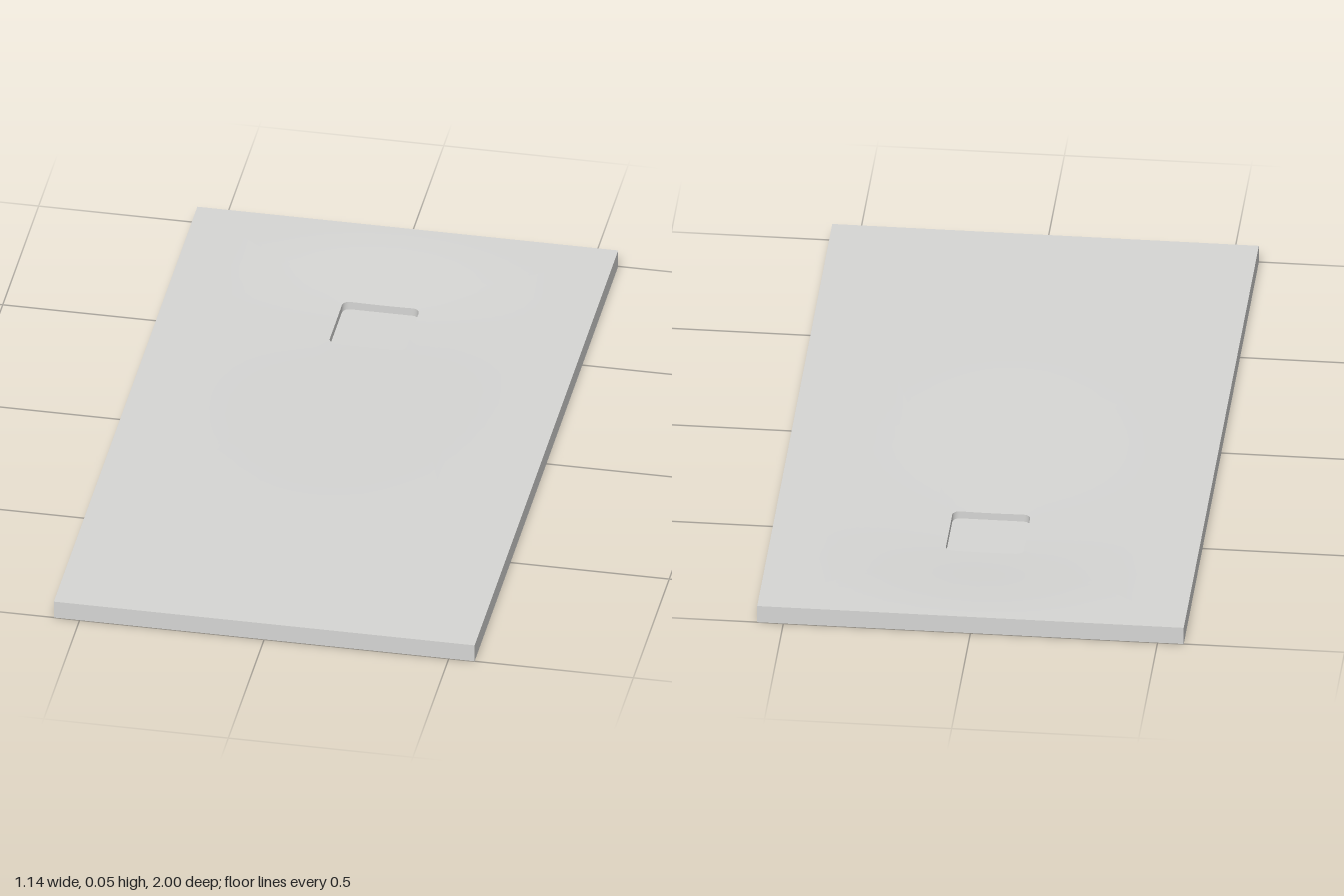
import * as THREE from 'three';

const CORNER_STEPS = 5;
const SIDE_STEPS = 10;
const DRAIN_Z = -0.532;

// Rounded rectangle in the xz plane, always with the same number of points
function ring(halfX, halfZ, radius, y, centreZ = 0) {
  const signs = [[1, 1], [-1, 1], [-1, -1], [1, -1]];
  const corners = signs.map(([sx, sz], q) => {
    const arc = [];
    for (let k = 0; k <= CORNER_STEPS; k++) {
      const a = (q + k / CORNER_STEPS) * Math.PI / 2;
      arc.push(new THREE.Vector3(
        sx * (halfX - radius) + radius * Math.cos(a),
        y,
        centreZ + sz * (halfZ - radius) + radius * Math.sin(a)
      ));
    }
    return arc;
  });
  // Join the corners with evenly divided straight sides
  return corners.flatMap((arc, q) => {
    const end = arc[CORNER_STEPS];
    const next = corners[(q + 1) % 4][0];
    const side = [];
    for (let k = 1; k < SIDE_STEPS; k++) side.push(end.clone().lerp(next, k / SIDE_STEPS));
    return [...arc, ...side];
  });
}

// Soft bell around the drain: 1 at its centre, 0 at the tray edges
function bell(p, power) {
  const dz = p.z - DRAIN_Z;
  const t = Math.hypot(p.x / 0.57, dz / (dz > 0 ? 0.98 : 0.465));
  return 1 - THREE.MathUtils.smoothstep(t ** power, 0, 1);
}
const topHeight = (p) => 0.05 - 0.018 * bell(p, 1);
const hollowHeight = (p) => 0.002 + 0.026 * bell(p, 2);

// Lay a ring onto a height rule
const drape = (points, height) => points.map((p) => p.clone().setY(height(p)));

// Surface between two rings, optionally following a height rule
function loft(from, to, steps = 1, height = (p) => p.y) {
  const n = from.length;
  const positions = [];
  const index = [];
  for (let s = 0; s <= steps; s++) {
    for (let i = 0; i < n; i++) {
      const p = from[i].clone().lerp(to[i], s / steps);
      positions.push(p.x, height(p), p.z);
    }
  }
  for (let s = 0; s < steps; s++) {
    for (let i = 0; i < n; i++) {
      const j = (i + 1) % n;
      const a = s * n + i, b = s * n + j, c = a + n, d = b + n;
      index.push(a, c, b, b, c, d);
    }
  }
  const geometry = new THREE.BufferGeometry();
  geometry.setAttribute('position', new THREE.Float32BufferAttribute(positions, 3));
  geometry.setIndex(index);
  geometry.computeVertexNormals();
  return geometry;
}

export function createModel() {
  const group = new THREE.Group();
  group.name = 'showerTray';
  const stone = new THREE.MeshStandardMaterial({ color: 0xd6d6d4 });
  stone.name = 'stoneGrey';

  const add = (name, geometry) => {
    const mesh = new THREE.Mesh(geometry, stone);
    mesh.name = name;
    group.add(mesh);
  };

  // Cross-section rings, from the underside outwards, up and back in
  const drain = (half, y) => ring(half, half, 0.02, y, DRAIN_Z);
  const boxCentre = ring(0, 0, 0, 0.011, DRAIN_Z);
  const boxBottom = drain(0.105, 0.011);
  const boxTop = drape(boxBottom, hollowHeight);
  const hollowEdge = ring(0.52, 0.68, 0.07, 0, -0.3);
  const hollowTop = drape(hollowEdge, hollowHeight);
  const baseEdge = ring(0.57, 1, 0, 0);
  const topEdge = ring(0.57, 1, 0, 0.05);
  const drainFloor = drain(0.104, 0.012);
  const drainRim = drape(drainFloor, topHeight);
  const floorCentre = ring(0, 0, 0, 0.012, DRAIN_Z);

  // Underside with a shallow hollow around the drain box
  add('drainBoxBottom', loft(boxCentre, boxBottom));
  add('drainBoxSides', loft(boxBottom, boxTop));
  add('undersideHollow', loft(boxTop, hollowTop, 16, hollowHeight));
  add('hollowStep', loft(hollowTop, hollowEdge));
  add('undersideBorder', loft(hollowEdge, baseEdge));

  // Outer sides and the top, which falls gently to the drain
  add('traySides', loft(baseEdge, topEdge));
  add('trayTop', loft(topEdge, drainRim, 16, topHeight));

  // Square drain pocket
  add('drainWalls', loft(drainRim, drainFloor));
  add('drainFloor', loft(drainFloor, floorCentre));

  return group;
}
